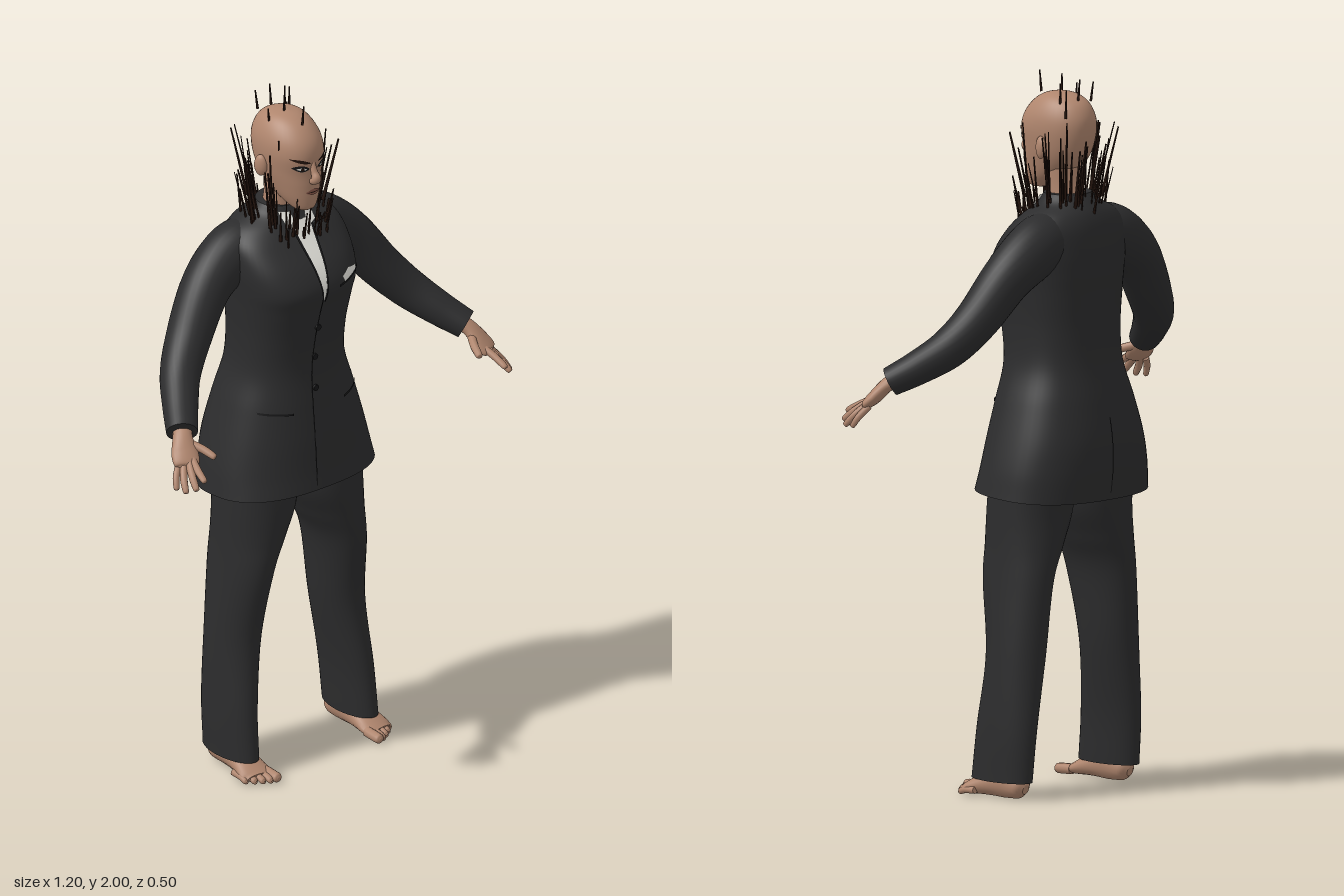
import * as THREE from 'three';
import { mergeGeometries } from 'three/addons/utils/BufferGeometryUtils.js';

const V = (x, y, z) => new THREE.Vector3(x, y, z);
const mat = (name, color, side = THREE.FrontSide) => {
  const m = new THREE.MeshStandardMaterial({ color, side });
  m.name = name;
  return m;
};

// Closed skin over a list of point loops, with flat end caps
function skin(loops) {
  const n = loops[0].length, pos = [], idx = [];
  const cap = (loop) => {
    const c = loop.reduce((s, p) => s.add(p), V(0, 0, 0)).divideScalar(n);
    return loop.map(() => c);
  };
  const first = loops[0], last = loops[loops.length - 1];
  const all = [cap(first), first, ...loops, last, cap(last)];
  all.forEach((loop) => loop.forEach((p) => pos.push(p.x, p.y, p.z)));
  for (let i = 0; i < all.length - 1; i++) {
    if (i === 1 || i === all.length - 3) continue; // sharp rim between cap and wall
    for (let j = 0; j < n; j++) {
      const k = (j + 1) % n, a = i * n + j, b = i * n + k;
      idx.push(a, b, b + n, a, b + n, a + n);
    }
  }
  const g = new THREE.BufferGeometry();
  g.setAttribute('position', new THREE.Float32BufferAttribute(pos, 3));
  g.setIndex(idx);
  g.computeVertexNormals();
  return g;
}

// Upright body from rows [y, centre x, half width, front z, back z, roundness]
function section(rows, { s = 1, steps = 50, seg = 40, warp = (p) => p } = {}) {
  const a = new THREE.CatmullRomCurve3(rows.map((r) => V(r[0], r[1] * s, r[2])), false, 'catmullrom');
  const b = new THREE.CatmullRomCurve3(rows.map((r) => V(r[3], r[4], r[5])), false, 'catmullrom');
  const pow = (v, n) => Math.sign(v) * Math.abs(v) ** (2 / n);
  const samples = [];
  for (let i = 0; i <= steps; i++) samples.push([a.getPoint(i / steps), b.getPoint(i / steps)]);
  const loops = samples.map(([p, q]) => Array.from({ length: seg }, (_, j) => {
    const t = (j / seg) * Math.PI * 2;
    return warp(V(p.y + p.z * pow(Math.sin(t), q.z), p.x,
      (q.x + q.y) / 2 + ((q.x - q.y) / 2) * pow(Math.cos(t), q.z)));
  }));
  // z of the front (dir 1) or back (dir -1) of the body at x, y
  const surface = (x, y, dir) => {
    let i = samples.findIndex(([p]) => p.x >= y);
    if (i < 1) i = i < 0 ? steps : 1;
    const f = (y - samples[i - 1][0].x) / (samples[i][0].x - samples[i - 1][0].x);
    const p = samples[i - 1][0].clone().lerp(samples[i][0], f);
    const q = samples[i - 1][1].clone().lerp(samples[i][1], f);
    const u = Math.min(1, Math.abs((x - p.y) / p.z));
    return (q.x + q.y) / 2 + dir * ((q.x - q.y) / 2) * (1 - u ** q.z) ** (1 / q.z);
  };
  return { geometry: skin(loops), surface };
}

// Limb along a curve, rows [x, y, z, side radius, up radius]
function limb(rows, { s = 1, up = V(0, 1, 0), steps = 24, seg = 20 } = {}) {
  const c = new THREE.CatmullRomCurve3(rows.map((r) => V(r[0] * s, r[1], r[2])), false, 'catmullrom');
  const rad = new THREE.CatmullRomCurve3(rows.map((r) => V(r[3], r[4] ?? r[3], 0)), false, 'catmullrom');
  const loops = [];
  for (let i = 0; i <= steps; i++) {
    const p = c.getPoint(i / steps), t = c.getTangent(i / steps), r = rad.getPoint(i / steps);
    const side = up.clone().cross(t).normalize(), top = t.clone().cross(side);
    loops.push(Array.from({ length: seg }, (_, j) => {
      const w = (j / seg) * Math.PI * 2;
      return p.clone().addScaledVector(side, Math.cos(w) * r.x).addScaledVector(top, Math.sin(w) * r.y);
    }));
  }
  return skin(loops);
}

// Thin face laid on a body between two edge lines of [x, y] points
function patch(surface, lower, upper, off = 0.004, dir = 1) {
  const at = (line, t) => {
    const f = t * (line.length - 1), i = Math.min(Math.floor(f), line.length - 2), k = f - i;
    return [0, 1].map((d) => line[i][d] * (1 - k) + line[i + 1][d] * k);
  };
  const g = new THREE.PlaneGeometry(1, 1, 14, 14), p = g.attributes.position;
  for (let i = 0; i < p.count; i++) {
    const u = p.getX(i) + 0.5, v = p.getY(i) + 0.5;
    const a = at(lower, u), b = at(upper, u);
    const x = a[0] + (b[0] - a[0]) * v, y = a[1] + (b[1] - a[1]) * v;
    p.setXYZ(i, x, y, surface(x, y, dir) + dir * off);
  }
  g.computeVertexNormals();
  return g;
}

export function createModel() {
  const model = new THREE.Group();
  const cloth = mat('charcoal cloth', 0x2c2c2d);
  const trim = mat('black trim', 0x161617, THREE.DoubleSide);
  const flesh = mat('skin', 0xb0866e);
  const white = mat('white cotton', 0xe4e3dc, THREE.DoubleSide);
  const hairMat = mat('dark brown hair', 0x24140d, THREE.DoubleSide);
  const lipMat = mat('lips', 0x8c5a4c, THREE.DoubleSide);
  const add = (name, geometry, material) => {
    const m = new THREE.Mesh(geometry, material);
    m.name = name;
    model.add(m);
  };

  // Jacket body, hem slightly lower at the back
  const torso = section([
    [0.845, 0, 0.262, 0.127, -0.242, 2.5], [0.92, 0, 0.25, 0.117, -0.25, 2.4], [1.0, 0, 0.23, 0.107, -0.248, 2.4],
    [1.1, 0, 0.2, 0.092, -0.23, 2.4], [1.2, 0, 0.168, 0.08, -0.208, 2.4], [1.3, 0, 0.163, 0.088, -0.2, 2.5],
    [1.4, 0, 0.171, 0.108, -0.202, 2.6], [1.46, 0, 0.179, 0.12, -0.205, 2.6], [1.52, 0, 0.186, 0.095, -0.205, 2.5],
    [1.58, 0, 0.182, 0.045, -0.198, 2.4], [1.62, 0, 0.15, 0.012, -0.185, 2.2], [1.65, 0, 0.095, -0.008, -0.165, 2],
    [1.675, 0, 0.07, -0.018, -0.145, 2],
  ], { steps: 72, seg: 56, warp: (p) => { if (p.y < 0.9) p.y += 0.07 * (p.z + 0.03) * (0.9 - p.y) / 0.055; return p; } });
  add('jacket', torso.geometry, cloth);
  const on = (name, m, lower, upper, off, dir) => add(name, patch(torso.surface, lower, upper, off, dir), m);

  // Shirt opening, lapel edges and front closing
  on('shirtFront', white, [[-0.012, 1.43], [-0.008, 1.43]], [[-0.034, 1.635], [0.036, 1.635]]);
  on('rightLapelEdge', trim, [[-0.016, 1.425], [-0.012, 1.425]], [[-0.042, 1.65], [-0.033, 1.65]], 0.006);
  on('leftLapelEdge', trim, [[-0.009, 1.425], [-0.005, 1.425]], [[0.035, 1.65], [0.044, 1.65]], 0.006);
  on('frontSeam', trim, [[-0.04, 0.87], [-0.036, 0.87]], [[-0.014, 1.43], [-0.01, 1.43]], 0.003);
  on('backVent', trim, [[-0.002, 0.85], [0.002, 0.85]], [[-0.002, 1.06], [0.002, 1.06]], 0.003, -1);
  for (const s of [-1, 1]) {
    on('shirtCollar', white, [[s * 0.012, 1.615], [s * 0.05, 1.625]], [[s * 0.025, 1.662], [s * 0.055, 1.665]], 0.008);
    on('hipPocket', trim, [[s * 0.09, 1.088], [s * 0.175, 1.096]], [[s * 0.09, 1.094], [s * 0.175, 1.102]], 0.004);
  }
  on('breastPocket', trim, [[0.045, 1.455], [0.145, 1.475]], [[0.045, 1.462], [0.145, 1.482]], 0.005);
  on('pocketSquare', white, [[0.065, 1.466], [0.125, 1.479]], [[0.06, 1.482], [0.09, 1.496], [0.13, 1.488]], 0.006);
  for (const y of [1.34, 1.245, 1.15]) {
    const b = new THREE.CylinderGeometry(0.009, 0.009, 0.006, 16).rotateX(Math.PI / 2);
    add('button', b.translate(-0.012, y, torso.surface(-0.012, y, 1) + 0.003), trim);
  }

  for (const s of [-1, 1]) {
    const side = s > 0 ? 'left' : 'right';
    // Sleeve
    add(side + 'Sleeve', limb([
      [0.07, 1.555, -0.1, 0.07, 0.07], [0.13, 1.548, -0.105, 0.077, 0.083], [0.195, 1.515, -0.105, 0.075, 0.08],
      [0.265, 1.458, -0.093, 0.07, 0.07], [0.345, 1.355, -0.062, 0.064, 0.062], [0.41, 1.28, -0.02, 0.057, 0.056],
      [0.465, 1.225, 0.045, 0.05, 0.048], [0.512, 1.183, 0.108, 0.044, 0.041],
    ], { s, steps: 44, seg: 28 }), cloth);
    // Hand
    add(side + 'Palm', limb([[0.495, 1.195, 0.09, 0.026, 0.022], [0.518, 1.172, 0.118, 0.028, 0.02],
      [0.533, 1.14, 0.145, 0.038, 0.019], [0.544, 1.118, 0.167, 0.036, 0.014], [0.548, 1.112, 0.174, 0.02, 0.006]], { s }), flesh);
    const fingers = [
      [[0.512, 1.16, 0.13], [0.49, 1.147, 0.17], [0.477, 1.132, 0.21], 0.012],
      [[0.525, 1.13, 0.165], [0.537, 1.11, 0.205], [0.543, 1.09, 0.244], 0.0105],
      [[0.537, 1.123, 0.168], [0.555, 1.096, 0.203], [0.566, 1.068, 0.236], 0.011],
      [[0.549, 1.118, 0.16], [0.572, 1.088, 0.187], [0.585, 1.057, 0.213], 0.0105],
      [[0.557, 1.115, 0.147], [0.58, 1.087, 0.164], [0.592, 1.057, 0.18], 0.0095],
    ];
    for (const [a, b, c, r] of fingers) {
      const tip = c.map((v, i) => v + (b[i] - c[i]) * 0.12);
      add(side + 'Finger', limb([[...a, r], [...b, r], [...tip, r * 0.8], [...c, r * 0.2]], { s, steps: 14, seg: 10 }), flesh);
    }
    // Trouser leg
    add(side + 'TrouserLeg', section([
      [0.05, 0.215, 0.051, 0.07, -0.14, 2], [0.2, 0.209, 0.056, 0.053, -0.15, 2], [0.4, 0.187, 0.067, 0.034, -0.156, 2],
      [0.6, 0.167, 0.072, 0.063, -0.164, 2.1], [0.7, 0.142, 0.091, 0.069, -0.168, 2.1],
      [0.8, 0.119, 0.111, 0.07, -0.17, 2.2], [0.93, 0.115, 0.112, 0.06, -0.18, 2.2],
    ], { s }).geometry, cloth);
    // Foot and toes
    add(side + 'Foot', limb([
      [0.21, 0.03, -0.12, 0.012, 0.014], [0.21, 0.036, -0.1, 0.032, 0.034], [0.21, 0.045, -0.045, 0.036, 0.045],
      [0.214, 0.034, 0.02, 0.042, 0.032], [0.218, 0.02, 0.07, 0.048, 0.019], [0.221, 0.015, 0.092, 0.036, 0.012],
    ], { s }), flesh);
    for (let i = 0; i < 5; i++) {
      const x = 0.184 + i * 0.0185, z = 0.135 - i * 0.006 - i * i * 0.0015, r = i ? 0.01 : 0.015;
      add(side + 'Toe', limb([[x, 0.018, z - 0.06, r], [x, 0.016, z - 0.025, r], [x, r, z - 0.006, r * 0.9],
        [x, r, z, r * 0.3]], { s, steps: 12, seg: 10 }), flesh);
    }
  }

  // Head and neck
  const head = section([
    [1.68, 0, 0.022, 0.045, 0.0, 2], [1.69, 0, 0.036, 0.056, -0.03, 2], [1.72, 0, 0.054, 0.061, -0.085, 2.1],
    [1.76, 0, 0.068, 0.062, -0.13, 2.2], [1.8, 0, 0.078, 0.061, -0.152, 2.2], [1.85, 0, 0.084, 0.066, -0.163, 2.2],
    [1.89, 0, 0.08, 0.056, -0.161, 2.1], [1.925, 0, 0.064, 0.028, -0.142, 2], [1.946, 0, 0.04, -0.008, -0.105, 2],
    [1.955, 0, 0.003, -0.05, -0.056, 2],
  ], { steps: 60 });
  add('head', head.geometry, flesh);
  add('neck', limb([[0, 1.6, -0.085, 0.06], [0, 1.68, -0.072, 0.052], [0, 1.77, -0.06, 0.054]], { up: V(0, 0, 1) }), flesh);
  add('nose', limb([[0, 1.835, 0.056, 0.008], [0, 1.805, 0.067, 0.01], [0, 1.787, 0.075, 0.014],
    [0, 1.776, 0.064, 0.015, 0.01], [0, 1.773, 0.056, 0.006]], { up: V(0, 0, 1), seg: 14 }), flesh);

  // Face details as thin lens shapes
  const lens = (name, m, cx, cy, w, h, tilt, off) => {
    const edge = (k) => Array.from({ length: 9 }, (_, i) => {
      const u = i / 4 - 1;
      return [cx + u * w, cy + u * w * tilt + k * h * (1 - u * u)];
    });
    add(name, patch(head.surface, edge(-1), edge(1), off), m);
  };
  for (const s of [-1, 1]) {
    lens('eyeLiner', trim, s * 0.036, 1.82, 0.023, 0.01, s * 0.15, 0.002);
    lens('eyeWhite', white, s * 0.036, 1.819, 0.014, 0.004, s * 0.1, 0.003);
    lens('iris', hairMat, s * 0.035, 1.819, 0.005, 0.005, 0, 0.004);
    lens('eyebrow', hairMat, s * 0.038, 1.843, 0.027, 0.005, s * 0.3, 0.003);
    const ear = new THREE.SphereGeometry(1, 16, 12).scale(0.013, 0.032, 0.02).rotateY(s * -0.4);
    add('ear', ear.translate(s * 0.086, 1.805, -0.06), flesh);
  }
  lens('lips', lipMat, 0, 1.743, 0.025, 0.009, 0, 0.003);
  lens('mouthLine', hairMat, 0, 1.743, 0.023, 0.0015, 0, 0.004);

  // Sparse loose hair strands
  let seed = 7;
  const rnd = () => (seed = (seed * 16807) % 2147483647) / 2147483647;
  const strand = (base, dir, len, r) => new THREE.CylinderGeometry(r * 0.5, r, len, 5).translate(0, len / 2, 0)
    .applyQuaternion(new THREE.Quaternion().setFromUnitVectors(V(0, 1, 0), dir.normalize())).translate(base.x, base.y, base.z);
  const strands = [];
  for (let i = 0; i < 84; i++) {
    const a = (rnd() * 2 - 1) * Math.PI, front = Math.abs(a) < 0.9;
    const k = 0.85 + rnd() * 0.35, len = front ? 0.05 + rnd() * 0.05 : 0.08 + rnd() * 0.15;
    const y = front ? 1.57 + rnd() * 0.06 : 1.59 + rnd() * 0.08;
    const splay = 0.05 + rnd() * 0.22;
    strands.push(strand(V(Math.sin(a) * 0.1 * k, y, -0.06 + Math.cos(a) * 0.1 * k),
      V(Math.sin(a) * splay, 1, Math.cos(a) * splay), len, 0.0025 + rnd() * 0.003));
  }
  // Few strands standing on the scalp, the tallest in the middle
  const scalp = [[-0.012, 1.94, 0.03, 0.06], [0.05, 1.925, -0.1, 0.06], [-0.055, 1.92, -0.06, 0.05],
    [0.01, 1.935, -0.13, 0.06], [-0.03, 1.93, -0.14, 0.055], [0.06, 1.89, -0.13, 0.08], [-0.07, 1.84, 0.0, 0.06]];
  for (const [x, y, z, len] of scalp) {
    strands.push(strand(V(x, y, z), V(x * 1.5, 1, (z + 0.05) * 1.5), len, 0.004));
  }
  strands.push(strand(V(-0.01, 1.94, -0.05), V(0, 1, 0), 0.06, 0.004));
  add('hairStrands', mergeGeometries(strands), hairMat);

  return model;
}
